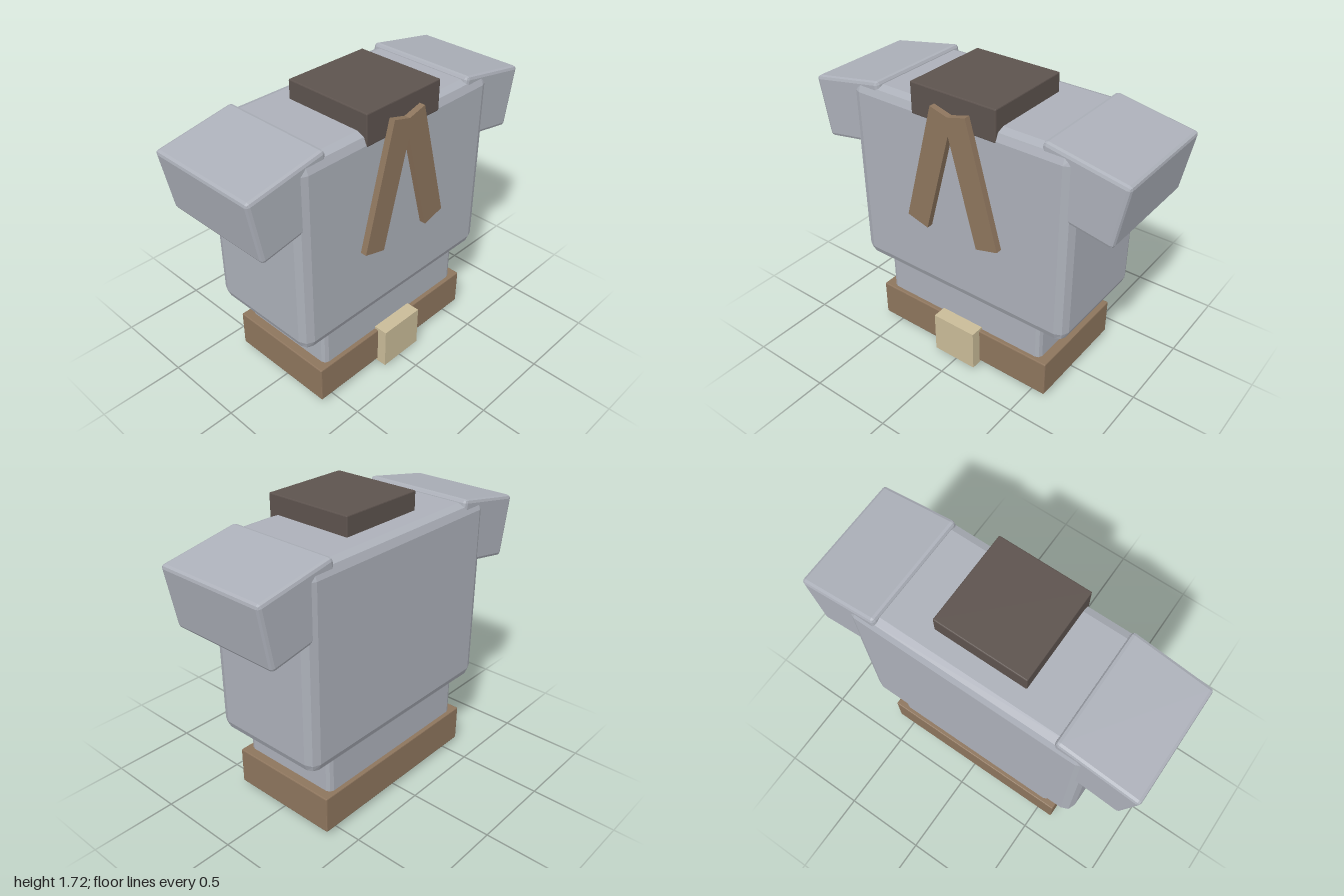
import * as THREE from 'three';
import { RoundedBoxGeometry } from 'three/addons/geometries/RoundedBoxGeometry.js';

const material = (name, color) => {
  const m = new THREE.MeshStandardMaterial({ color, flatShading: true });
  m.name = name;
  return m;
};

export function createModel() {
  const cloth = material('grey cloth', 0xacb0b9);
  const leather = material('brown leather', 0x8d755d);
  const dark = material('dark brown', 0x5d534e);
  const brass = material('pale brass', 0xc9bb98);

  const model = new THREE.Group();
  model.name = 'tunic';

  // Box given by its centre and size; bevel 0 means sharp edges
  const box = (name, mat, [x, y, z], [w, h, d], bevel = 0, tilt = 0) => {
    const geometry = bevel
      ? new RoundedBoxGeometry(w, h, d, 1, bevel)
      : new THREE.BoxGeometry(w, h, d);
    const mesh = new THREE.Mesh(geometry, mat);
    mesh.name = name;
    mesh.position.set(x, y, z);
    mesh.rotation.z = tilt;
    model.add(mesh);
    return mesh;
  };

  // Body and skirt
  box('torso', cloth, [0, 1.04, -0.02], [1.42, 1.14, 0.71], 0.06);
  box('skirt', cloth, [0, 0.28, -0.02], [1.09, 0.56, 0.63], 0.03);

  // Belt with buckle
  box('belt', leather, [0, 0.147, -0.02], [1.2, 0.225, 0.68], 0.006);
  box('buckle', brass, [0, 0.147, 0.33], [0.285, 0.255, 0.1]);

  // Collar block set into the top of the torso
  box('collar', dark, [0, 1.63, 0.062], [0.54, 0.18, 0.55], 0.006);

  // Mirrored sleeves and neck ties
  for (const [side, s] of [['left', 1], ['right', -1]]) {
    box(side + 'Sleeve', cloth, [s * 0.731, 1.411, -0.022], [0.48, 0.365, 0.685], 0.02, -s * 0.18);
    box(side + 'Tie', leather, [s * 0.14, 1.265, 0.35], [0.143, 0.742, 0.045], 0, s * 0.265);
  }

  return model;
}
